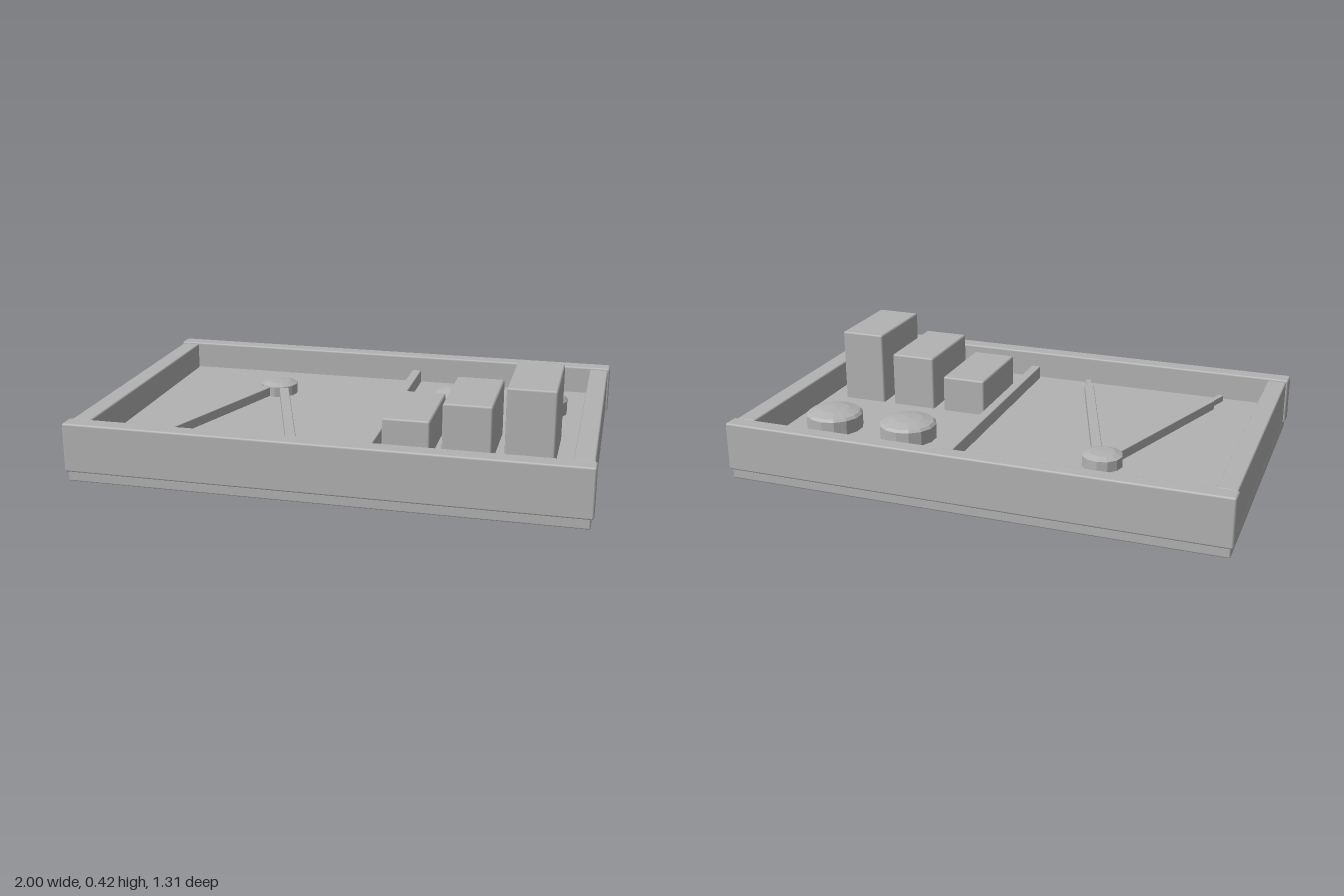
import * as THREE from 'three';
import { RoundedBoxGeometry } from 'three/addons/geometries/RoundedBoxGeometry.js';

const FLOOR = 0.12;

export function createModel() {
  const model = new THREE.Group();
  const grey = new THREE.MeshStandardMaterial({ color: 0xb2b2b2 });
  grey.name = 'plain grey';

  function add(name, geometry, x = 0, y = 0, z = 0, parent = model) {
    const mesh = new THREE.Mesh(geometry, grey);
    mesh.name = name;
    mesh.position.set(x, y, z);
    parent.add(mesh);
    return mesh;
  }

  // Box given by its limits, with a small softened edge
  function slab(name, x0, x1, y0, y1, z0, z1, radius = 0.006) {
    const size = [x1 - x0, y1 - y0, z1 - z0];
    add(name, new RoundedBoxGeometry(...size, 1, radius),
      (x0 + x1) / 2, (y0 + y1) / 2, (z0 + z1) / 2);
  }

  // Tray base and raised floor
  slab('base', -0.99, 0.99, 0, 0.05, -0.645, 0.645);
  slab('floor', -0.93, 0.93, 0.03, FLOOR, -0.6, 0.6);

  // Rim: long rails front and back, shorter rails between them
  slab('frontRail', -1, 1, 0.04, 0.236, 0.582, 0.655, 0.008);
  slab('backRail', -1, 1, 0.04, 0.236, -0.655, -0.585, 0.008);
  for (const [name, side] of [['leftRail', 1], ['rightRail', -1]]) {
    const a = 0.915 * side, b = 0.992 * side;
    slab(name, Math.min(a, b), Math.max(a, b), 0.05, 0.231, -0.58, 0.577);
  }
  slab('divider', 0.12, 0.16, FLOOR - 0.01, 0.175, -0.578, 0.572, 0.004);

  // Row of blocks rising in height
  [[0.19, 0.375, 0.27], [0.42, 0.608, 0.345], [0.655, 0.84, 0.422]].forEach(([x0, x1, top], i) =>
    slab('block' + (i + 1), x0, x1, FLOOR - 0.01, top, 0.04, 0.405, 0.008));

  // Low faceted buttons with a shallow domed top
  const flat = (geometry) => {
    const g = geometry.index ? geometry.toNonIndexed() : geometry;
    g.computeVertexNormals();
    return g;
  };
  const button = flat(new THREE.LatheGeometry([
    [0, 0.205], [0.06, 0.2], [0.105, 0.188], [0.116, 0.178], [0.116, FLOOR - 0.005],
  ].reverse().map(([r, y]) => new THREE.Vector2(r, y)), 14));
  add('leftButton', button, 0.725, 0, -0.277);
  add('rightButton', button, 0.393, 0, -0.277);

  // Dividers tool: round hinge, two spread legs and thin points
  const tool = new THREE.Group();
  tool.name = 'dividersTool';
  tool.position.set(-0.424, 0, -0.283);
  model.add(tool);
  const hinge = flat(new THREE.LatheGeometry([
    [0.08, FLOOR - 0.005], [0.08, 0.163], [0.05, 0.174], [0, 0.177],
  ].map(([r, y]) => new THREE.Vector2(r, y)), 12));
  add('hinge', hinge, 0, 0, 0, tool);
  for (const side of [1, -1]) {
    const leg = new THREE.Group();
    leg.name = side > 0 ? 'leftLeg' : 'rightLeg';
    leg.position.x = 0.018 * side;
    leg.rotation.y = 0.335 * side;
    tool.add(leg);
    add('legBar', new RoundedBoxGeometry(0.04, 0.04, 0.75, 1, 0.003), 0, 0.14, 0.395, leg);
    add('legPoint', new THREE.BoxGeometry(0.022, 0.025, 0.1), 0, 0.142, 0.81, leg);
  }

  return model;
}
